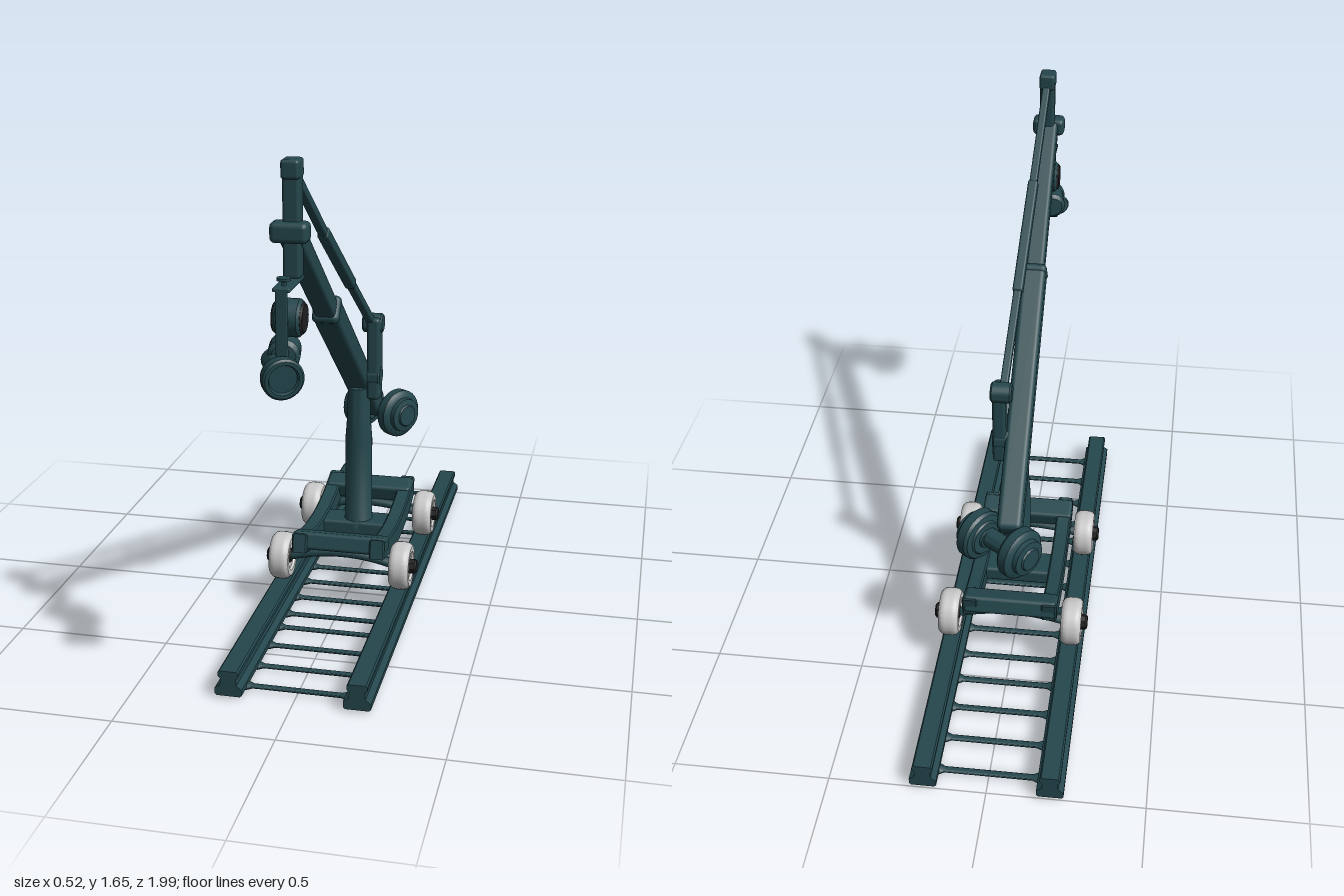
import * as THREE from 'three';
import { RoundedBoxGeometry } from 'three/addons/geometries/RoundedBoxGeometry.js';
import { toCreasedNormals } from 'three/addons/utils/BufferGeometryUtils.js';

const V = (x, y, z) => new THREE.Vector3(x, y, z);

export function createModel() {
  const model = new THREE.Group();
  const mat = (name, color) => Object.assign(new THREE.MeshStandardMaterial({ color }), { name });
  const teal = mat('dark teal paint', 0x24474d);
  const grey = mat('pale grey tyre', 0xc9c9c9);
  const black = mat('black rubber', 0x1f1e20);

  const add = (name, geo, material = teal, parent = model) => {
    const mesh = new THREE.Mesh(geo, material);
    mesh.name = name;
    parent.add(mesh);
    return mesh;
  };
  // rounded block centred at a point
  const block = (name, w, h, d, x, y, z, r = 0.01, material = teal) => {
    const m = add(name, new RoundedBoxGeometry(w, h, d, 2, r), material);
    m.position.set(x, y, z);
    return m;
  };
  // rounded bar running from a to b
  const bar = (name, a, b, w, h) => {
    const m = block(name, w, h, a.distanceTo(b), 0, 0, 0, Math.min(w, h) * 0.22);
    m.position.copy(a).add(b).multiplyScalar(0.5);
    m.lookAt(b);
    return m;
  };
  // turned part: profile of [radius, height] along an axis through a point
  const turned = (name, profile, at, axis, material = teal, segs = 28) => {
    const geo = new THREE.LatheGeometry(profile.map(p => new THREE.Vector2(p[0], p[1])), segs);
    const m = add(name, toCreasedNormals(geo, 0.6), material);
    m.position.copy(at);
    m.quaternion.setFromUnitVectors(V(0, 1, 0), axis.clone().normalize());
    return m;
  };
  const disc = (r, h, c = 0.006) => [[0, -h / 2], [r - c, -h / 2], [r, -h / 2 + c], [r, h / 2 - c], [r - c, h / 2], [0, h / 2]];
  const X = V(1, 0, 0), Y = V(0, 1, 0);

  // ---- track: two rails and the rungs between them
  const half = [[0.036, 0.008], [0.043, 0.014], [0.043, 0.032], [0.026, 0.045], [0.024, 0.066], [0.032, 0.074], [0.032, 0.086], [0.027, 0.091]];
  const section = new THREE.Shape([...half, ...half.map(([x, y]) => [-x, y]).reverse()].map(p => new THREE.Vector2(...p)));
  for (const s of [-1, 1]) {
    const rail = add('rail', new THREE.ExtrudeGeometry(section, { depth: 1.8, bevelEnabled: false }));
    rail.position.set(s * 0.2, 0, -1);
  }
  const rung = [[0.022, -0.17], [0.022, -0.16], [0.012, -0.14], [0.012, 0.14], [0.022, 0.16], [0.022, 0.17]];
  for (const z of [-0.93, -0.795, -0.66, -0.53, -0.41, -0.28, -0.155, -0.03, 0.1, 0.23, 0.33, 0.46, 0.6, 0.73])
    turned('rung', rung, V(0, 0.012, z), X, teal, 12).scale.x = 0.55;

  // ---- dolly: dipped side beams, end bars and a cross member
  const side = new THREE.Shape();
  side.moveTo(0.155, 0.27);
  side.quadraticCurveTo(-0.14, 0.18, -0.43, 0.275);
  side.lineTo(-0.42, 0.215);
  side.quadraticCurveTo(-0.14, 0.115, 0.165, 0.215);
  const sideGeo = new THREE.ExtrudeGeometry(side, {
    depth: 0.042, curveSegments: 20, bevelSize: 0.005, bevelThickness: 0.005, bevelSegments: 1 });
  sideGeo.translate(0, 0, -0.021).rotateY(-Math.PI / 2);
  for (const s of [-1, 1]) {
    const beam = add('sideBeam', toCreasedNormals(sideGeo, 0.6));
    beam.position.x = s * 0.133;
  }
  block('frontBar', 0.32, 0.06, 0.08, 0, 0.24, 0.117, 0.012).rotation.x = -0.28;
  block('backBar', 0.31, 0.06, 0.08, 0, 0.245, -0.39, 0.012).rotation.x = 0.28;
  block('crossMember', 0.25, 0.05, 0.11, 0, 0.2, -0.15);

  // ---- wheels with hubs and arched axles
  const tyre = [[0.02, -0.026], [0.045, -0.026], [0.05, -0.034], [0.068, -0.034], [0.078, -0.024], [0.081, -0.01],
    [0.081, 0.01], [0.078, 0.024], [0.068, 0.034], [0.05, 0.034], [0.045, 0.026], [0.02, 0.026]];
  for (const z of [0.1, -0.37]) {
    const arch = new THREE.QuadraticBezierCurve3(V(-0.19, 0.165, z), V(0, 0.225, z), V(0.19, 0.165, z));
    add('axle', new THREE.TubeGeometry(arch, 16, 0.016, 10));
    for (const s of [-1, 1]) {
      turned('wheel', tyre, V(s * 0.207, 0.167, z), X, grey);
      turned('wheelHub', disc(0.026, 0.085), V(s * 0.217, 0.167, z), X, black, 8);
    }
  }

  // ---- mast and the offset arm carrying the upper pivot
  turned('mast', [[0, 0], [0.056, 0], [0.056, 0.035], [0.047, 0.05], [0.047, 0.34], [0.041, 0.42], [0.038, 0.53], [0, 0.54]],
    V(0.007, 0.18, -0.15), Y);
  block('mastArm', 0.045, 0.29, 0.068, 0.062, 0.82, -0.15, 0.012);
  turned('boomPivot', disc(0.038, 0.12), V(0.025, 0.755, -0.15), X);
  turned('rodPivot', disc(0.034, 0.07), V(0.055, 0.94, -0.16), X);

  // ---- boom in two telescoping sections
  const tail = V(0, 0.56, -0.4), tip = V(0.006, 1.455, 0.775);
  const along = t => tail.clone().lerp(tip, t);
  bar('boomOuter', tail, along(0.62), 0.082, 0.088);
  bar('boomInner', along(0.6), tip, 0.066, 0.066);
  bar('boomCollar', along(0.605), along(0.63), 0.088, 0.092);

  // ---- levelling rod above the boom
  const rodA = V(0.05, 0.935, -0.165), rodB = V(0.012, 1.61, 0.755);
  const rodPoint = (t, sag) => rodA.clone().lerp(rodB, t).add(V(0, -sag, 0));
  bar('levelRod', rodA, rodPoint(0.33, 0.005), 0.026, 0.028);
  bar('levelRodSleeve', rodPoint(0.32, 0.005), rodPoint(0.68, 0.008), 0.034, 0.036);
  bar('levelRod', rodPoint(0.67, 0.008), rodB, 0.026, 0.028);

  // ---- head at the tip of the boom
  block('headPost', 0.05, 0.32, 0.054, 0.01, 1.48, 0.763);
  block('headCap', 0.054, 0.055, 0.066, 0.01, 1.627, 0.766);
  block('headPivot', 0.11, 0.06, 0.062, 0.006, 1.453, 0.78, 0.016);

  // ---- hanging camera bracket
  block('bracketArm', 0.05, 0.012, 0.17, 0.01, 1.318, 0.82, 0.004);
  turned('bracketKnob', [[0, 0], [0.007, 0], [0.007, 0.022], [0.02, 0.026], [0.02, 0.034], [0, 0.036]], V(0.01, 1.312, 0.87), Y);
  block('bracketRod', 0.035, 0.22, 0.01, 0.01, 1.212, 0.9, 0.004);

  // ---- camera: film drum, body and angled lens
  const look = V(0.5, -0.08, 0.85).normalize();
  turned('drum', disc(0.054, 0.08, 0.01), V(0.016, 1.225, 0.835), X);
  turned('drumFace', disc(0.046, 0.089), V(0.016, 1.225, 0.835), X, black);
  turned('cameraBody', disc(0.046, 0.1, 0.012), V(0.0, 1.125, 0.835), V(0.2, 0, 1));
  block('cameraBase', 0.06, 0.02, 0.09, 0.005, 1.08, 0.855, 0.005);
  turned('lensBarrel', disc(0.034, 0.12), V(-0.005, 1.1, 0.89), look);
  turned('lensHood', [[0, -0.035], [0.045, -0.03], [0.056, -0.015], [0.06, 0], [0.06, 0.022], [0.054, 0.028],
    [0.044, 0.028], [0.04, 0.018], [0, 0.018]], V(0.018, 1.086, 0.942), look);

  // ---- counterweights on a slanted axle
  const slant = V(0.8, 0, 0.6), right = V(0.107, 0.54, -0.39), left = V(-0.047, 0.54, -0.478);
  const weight = [[0, -0.05], [0.03, -0.05], [0.032, -0.042], [0.055, -0.042], [0.06, -0.036], [0.078, -0.032], [0.086, -0.022],
    [0.086, 0.008], [0.078, 0.016], [0.062, 0.02], [0.06, 0.036], [0.04, 0.04], [0.036, 0.046], [0, 0.046]];
  turned('counterweight', weight, right, slant);
  turned('counterweight', weight, left, slant.clone().negate());
  turned('weightAxle', disc(0.032, 0.2), right.clone().add(left).multiplyScalar(0.5), slant);

  return model;
}
